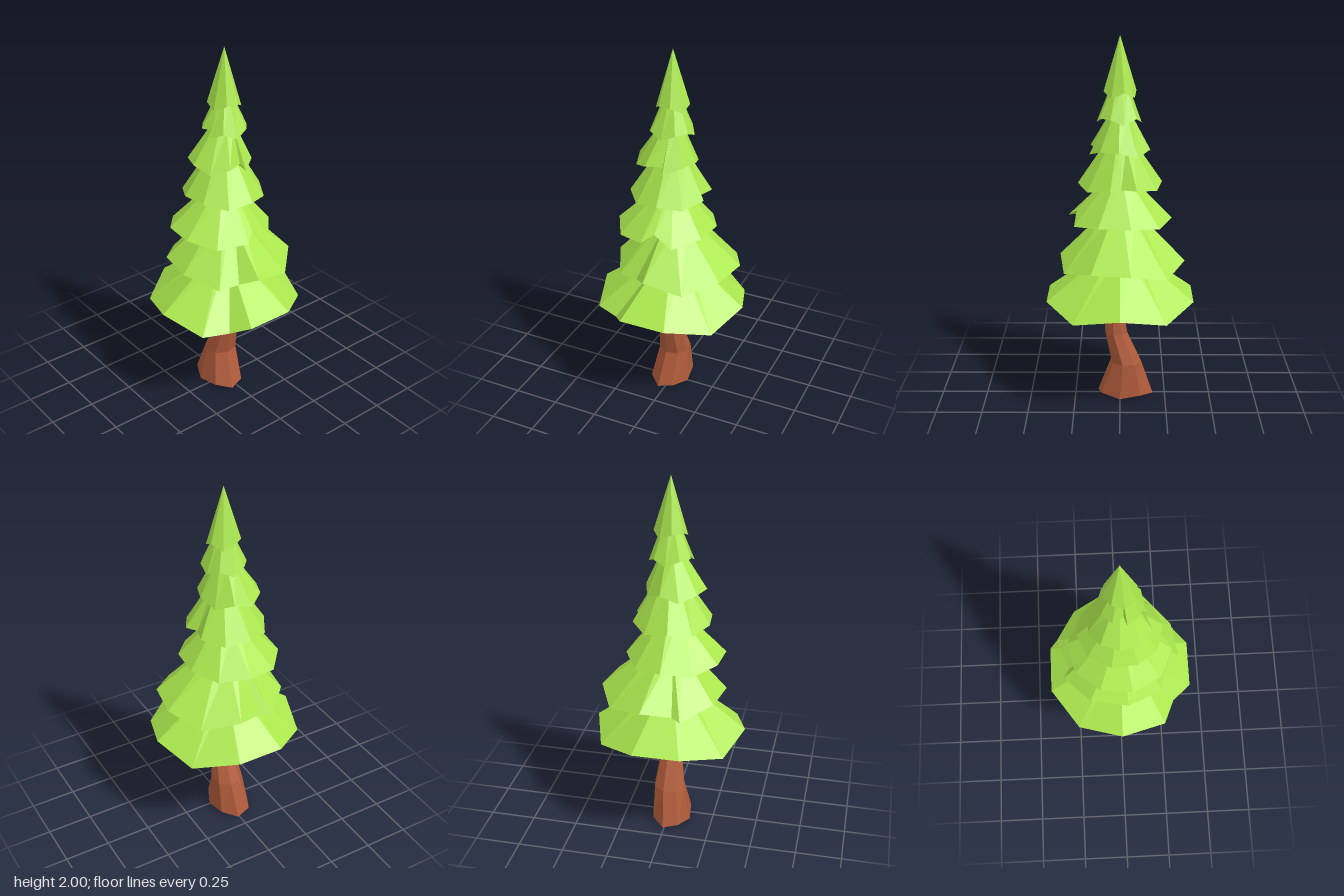
import * as THREE from 'three';

const rad = THREE.MathUtils.degToRad;

// Flat-shaded loft through rings of [x, y, z] points, closed by a point at each end.
function loft(bottom, rings, top) {
  const pos = [];
  const tri = (a, b, c) => pos.push(...a, ...b, ...c);
  const n = rings[0].length;
  for (let i = 0; i < n; i++) {
    const j = (i + 1) % n;
    tri(rings[0][i], rings[0][j], bottom);
    for (let k = 0; k + 1 < rings.length; k++) {
      const lo = rings[k], hi = rings[k + 1];
      tri(lo[i], hi[i], lo[j]);
      tri(lo[j], hi[i], hi[j]);
    }
    const last = rings[rings.length - 1];
    tri(last[i], top, last[j]);
  }
  const geo = new THREE.BufferGeometry();
  geo.setAttribute('position', new THREE.Float32BufferAttribute(pos, 3));
  geo.computeVertexNormals();
  return geo;
}

// A skirt of branches: drooping zigzag rim, narrow top, hollowed underside, small notches.
function tierGeometry({ c, r, y, top, topR, sides = 10, rot = 0, notches = [], cut = 0.8, notchY = y[1] }) {
  const [low, high] = y;
  const rim = [];
  for (let i = 0; i < sides; i++) {
    const a = rot + (i * 360) / sides;
    rim.push({ a, s: 1, y: i % 5 === 1 || i % 5 === 4 ? low : high });
  }
  for (const a of notches) rim.push({ a: rot + ((((a - rot) % 360) + 360) % 360), s: cut, y: notchY });
  rim.sort((p, q) => p.a - q.a);

  const outer = rim.map((p) => [
    c[0] + Math.cos(rad(p.a)) * r[0] * p.s, p.y, c[1] + Math.sin(rad(p.a)) * r[1] * p.s,
  ]);
  const rings = [outer];
  if (topR > 0) {
    rings.push(rim.map((p) => [
      c[0] * 0.3 + Math.cos(rad(p.a)) * topR, top, c[1] * 0.3 + Math.sin(rad(p.a)) * topR,
    ]));
  }
  return loft([c[0] * 0.5, high + 0.03, c[1] * 0.5], rings, [0, top + topR * 0.4, 0]);
}

export function createModel() {
  const tree = new THREE.Group();
  tree.name = 'pineTree';
  const bark = new THREE.MeshStandardMaterial({ color: 0xb05b3a, flatShading: true });
  const needles = new THREE.MeshStandardMaterial({ color: 0xabe84e, flatShading: true });

  // Leaning trunk: [y, centre x, centre z, radius x, radius z]
  const sections = [
    [0.01, -0.03, 0.015, 0.157, 0.112],
    [0.2, -0.033, 0, 0.086, 0.09],
    [0.37, 0.022, 0, 0.063, 0.063],
    [0.62, 0.042, 0, 0.043, 0.048],
  ];
  const trunkRings = sections.map(([y, cx, cz, rx, rz], k) =>
    Array.from({ length: 8 }, (_, i) => {
      const a = rad(i * 45 + 12);
      const foot = k === 0 ? (i % 2 ? 0.005 : -0.01) : 0;
      return [cx + Math.cos(a) * rx, y + foot, cz + Math.sin(a) * rz];
    }));
  const trunk = new THREE.Mesh(loft([-0.03, 0.04, 0.015], trunkRings, [0.042, 0.64, 0]), bark);
  trunk.name = 'trunk';
  tree.add(trunk);

  // Branch tiers from the ground up
  const tiers = [
    { c: [0, 0], r: [0.415, 0.415], y: [0.545, 0.595], top: 0.84, topR: 0.09, rot: 90, notches: [34], cut: 0.87, notchY: 0.545 },
    { c: [-0.01, -0.035], r: [0.34, 0.34], y: [0.775, 0.82], top: 1.05, topR: 0.1, rot: 10, notches: [27, 160], cut: 0.86, notchY: 0.785 },
    { c: [0, 0.03], r: [0.28, 0.267], y: [1.01, 1.03], top: 1.23, topR: 0.08, rot: 6, notches: [-8], cut: 0.84, notchY: 1.07 },
    { c: [0, 0.01], r: [0.225, 0.213], y: [1.205, 1.225], top: 1.43, topR: 0.085, rot: -5, notches: [-92], cut: 0.8 },
    { c: [0, 0.03], r: [0.168, 0.163], y: [1.38, 1.41], top: 1.58, topR: 0.065, rot: 20, notches: [-15], cut: 0.78 },
    { c: [0.005, 0.003], r: [0.118, 0.118], y: [1.55, 1.58], top: 1.73, topR: 0.05, rot: 40, notches: [82], cut: 0.7 },
    { c: [0, 0], r: [0.088, 0.088], y: [1.685, 1.715], top: 2, topR: 0, sides: 8, rot: 30 },
  ];
  tiers.forEach((spec, i) => {
    const tier = new THREE.Mesh(tierGeometry(spec), needles);
    tier.name = i === tiers.length - 1 ? 'treeTop' : `branchTier${i + 1}`;
    tree.add(tier);
  });
  return tree;
}
